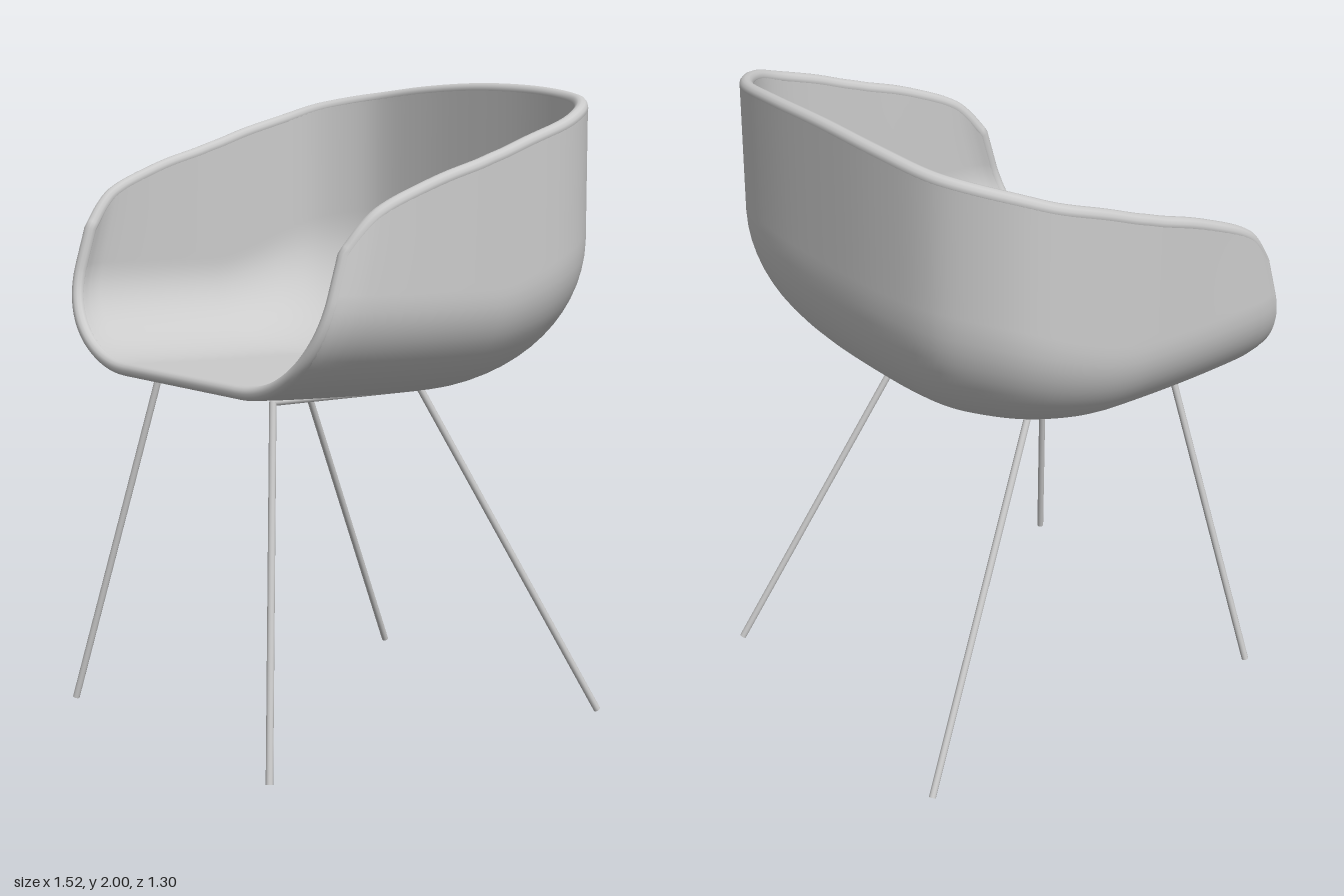
import * as THREE from 'three';

const { lerp, smoothstep } = THREE.MathUtils;
const V = (x, y, z) => new THREE.Vector3(x, y, z);

// Rim of the tub: plan position (x, z) and rim height (y), left front to back centre
const half = [
  [0.70, 1.53, 0.58], [0.715, 1.595, 0.54], [0.725, 1.64, 0.49], [0.738, 1.72, 0.26],
  [0.74, 1.78, 0], [0.735, 1.83, -0.15], [0.715, 1.875, -0.3], [0.67, 1.91, -0.4],
  [0.58, 1.935, -0.49], [0.48, 1.95, -0.545], [0.28, 1.97, -0.58], [0, 1.98, -0.59],
];
const mirrored = half.slice(0, -1).reverse().map(([x, y, z]) => [-x, y, z]);
const plan = new THREE.CatmullRomCurve3([...half, ...mirrored].map((p) => V(...p)));

// Middle surface of the shell: s runs round the rim, v from floor centre up to the rim
function surface(s, v) {
  const p = plan.getPoint(s);
  const cz = Math.max(p.z, 0);
  const w = smoothstep(-p.z, 0, 0.55);
  const run = lerp(0.54, 0.7, w); // share of the profile taken by the bend
  const rise = lerp(0.3, 0.45, w); // height of the bend
  const floor = 1.095 + 0.015 * (cz / 0.58) ** 2;
  let r = 1, y = floor;
  if (v < 0.3) {
    r = (1 - run) * v / 0.3;
  } else if (v < 0.65) {
    const a = (v - 0.3) / 0.35 * Math.PI / 2;
    r = 1 - run + run * Math.sin(a);
    y = floor + rise * (1 - Math.cos(a));
  } else {
    y = lerp(floor + rise, p.y, (v - 0.65) / 0.35);
  }
  let z = lerp(cz, p.z, r);
  // front edges of the arms lean back as they rise
  if (z > 0) z *= 1 - 0.15 / 0.58 * smoothstep(y, 1.1, 1.85);
  return V(p.x * r, y, z);
}

// Surface moved along its normal by d
function offsetSurface(s, v, d) {
  const e = 0.002;
  const ds = surface(Math.min(s + e, 1), v).sub(surface(Math.max(s - e, 0), v));
  const dv = surface(s, Math.min(v + e, 1)).sub(surface(s, Math.max(v - e, 0)));
  const n = ds.cross(dv);
  if (n.length() < 1e-9) n.set(0, -1, 0);
  return surface(s, v).addScaledVector(n.normalize(), d);
}

function skin(d) {
  const ns = 132, nv = 48, pos = [], idx = [];
  for (let i = 0; i <= ns; i++) {
    for (let j = 0; j <= nv; j++) pos.push(...offsetSurface(i / ns, j / nv, d).toArray());
  }
  for (let i = 0; i < ns; i++) {
    for (let j = 0; j < nv; j++) {
      const a = i * (nv + 1) + j, b = a + nv + 1;
      if (d > 0) idx.push(a, b, b + 1, a, b + 1, a + 1);
      else idx.push(a, b + 1, b, a, a + 1, b + 1);
    }
  }
  const g = new THREE.BufferGeometry();
  g.setAttribute('position', new THREE.Float32BufferAttribute(pos, 3));
  g.setIndex(idx);
  g.computeVertexNormals();
  return g;
}

// Closed path along the front lip, the arms and the back
function rimPath() {
  const pts = [], n = 30, m = 88;
  for (let i = 0; i < n; i++) pts.push(surface(0, i / n));
  for (let i = 0; i < m; i++) pts.push(surface(i / m, 1));
  for (let i = n; i > 0; i--) pts.push(surface(1, i / n));
  return new THREE.CatmullRomCurve3(pts, true);
}

export function createModel() {
  const model = new THREE.Group();
  model.name = 'tubChair';
  const grey = new THREE.MeshStandardMaterial({ color: 0xcccccc });
  const add = (parent, geometry, name) => {
    const mesh = new THREE.Mesh(geometry, grey);
    mesh.name = name;
    parent.add(mesh);
    return mesh;
  };

  // Seat shell with a rounded rim
  const shell = new THREE.Group();
  shell.name = 'seatShell';
  model.add(shell);
  add(shell, skin(0.02), 'shellOutside');
  add(shell, skin(-0.02), 'shellInside');
  add(shell, new THREE.TubeGeometry(rimPath(), 320, 0.021, 12, true), 'shellRim');

  // Wire frame: two legs and a rail under the seat on each side
  const R = 0.011;
  const rod = (parent, a, b, name) => {
    const dir = b.clone().sub(a);
    const mesh = add(parent, new THREE.CylinderGeometry(R, R, dir.length(), 12), name);
    mesh.position.copy(a).add(b).multiplyScalar(0.5);
    mesh.quaternion.setFromUnitVectors(V(0, 1, 0), dir.normalize());
  };
  for (const side of [1, -1]) {
    const frame = new THREE.Group();
    frame.name = side > 0 ? 'leftFrame' : 'rightFrame';
    frame.position.x = -0.015;
    model.add(frame);
    const frontTop = V(side * 0.32, 1.07, 0.46), backTop = V(side * 0.32, 1.07, -0.09);
    rod(frame, V(side * 0.56, 0.004, 0.643), frontTop, 'frontLeg');
    rod(frame, V(side * 0.56, 0.004, -0.637), backTop, 'backLeg');
    rod(frame, frontTop, backTop, 'seatRail');
    for (const p of [frontTop, backTop]) {
      add(frame, new THREE.SphereGeometry(R, 12, 8), 'bend').position.copy(p);
    }
  }
  return model;
}
